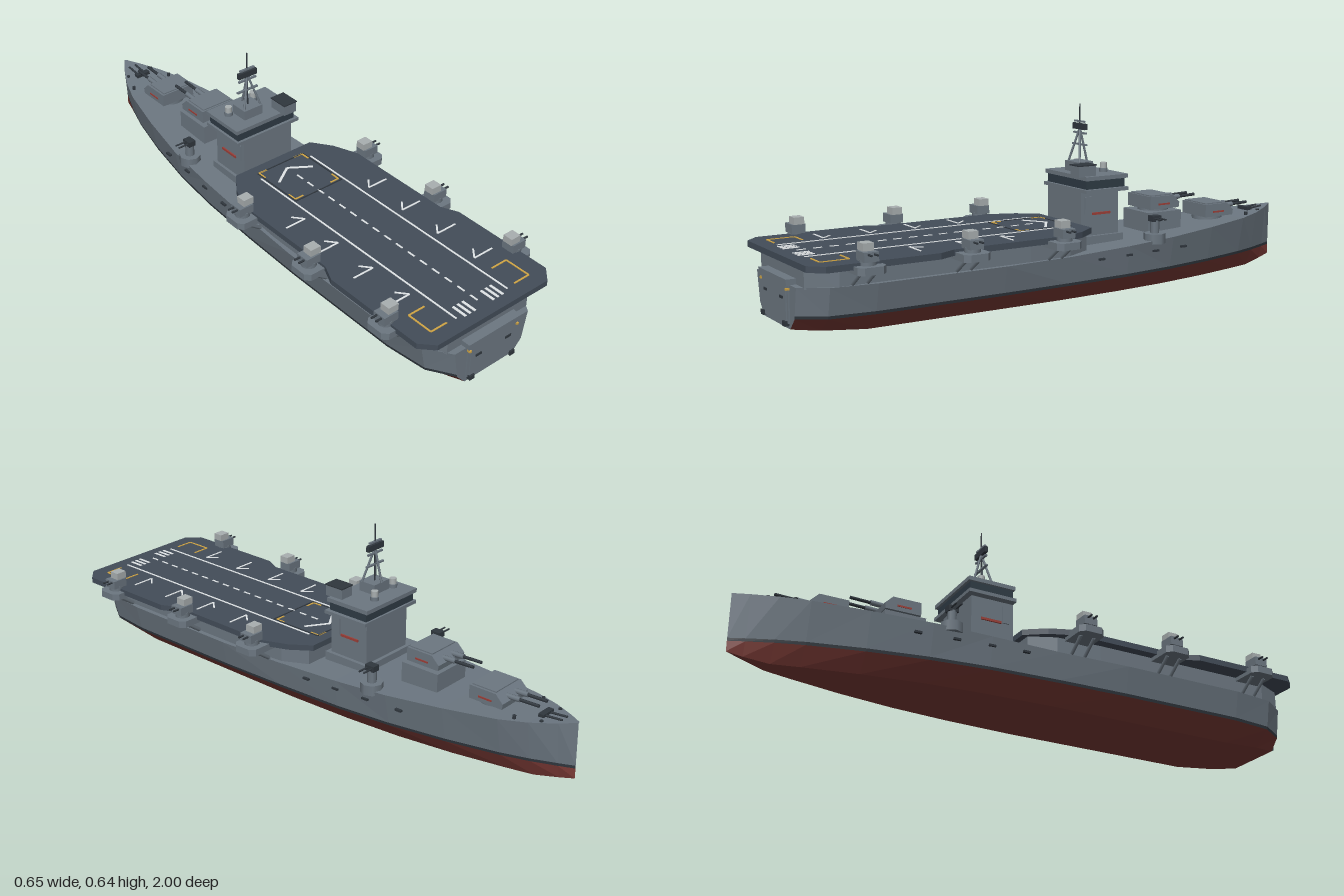
import * as THREE from 'three';

const mat = (name, color) => {
  const m = new THREE.MeshStandardMaterial({ color });
  m.name = name;
  return m;
};

export function createModel() {
  const grey = mat('hull grey', 0x6c7781), deckMat = mat('flight deck slate', 0x434d59);
  const red = mat('antifouling red', 0x7a3a35), dark = mat('dark fittings', 0x30373e);
  const glass = mat('bridge glass', 0x2f3b45), pale = mat('pale shields', 0xa9afb0);
  const white = mat('white paint', 0xe6eaec), yellow = mat('yellow paint', 0xd0a545);
  const vent = mat('red marking', 0x9c3f38);
  const model = new THREE.Group();

  const group = (name, x = 0, y = 0, z = 0, parent = model) => {
    const g = new THREE.Group();
    g.name = name;
    g.position.set(x, y, z);
    parent.add(g);
    return g;
  };
  const add = (parent, name, geo, m) => {
    const mesh = new THREE.Mesh(geo, m);
    mesh.name = name;
    parent.add(mesh);
    return mesh;
  };
  // Box given by its x, y and z ranges
  const box = (parent, name, m, [x0, x1], [y0, y1], [z0, z1]) => {
    const mesh = add(parent, name, new THREE.BoxGeometry(x1 - x0, y1 - y0, z1 - z0), m);
    mesh.position.set((x0 + x1) / 2, (y0 + y1) / 2, (z0 + z1) / 2);
    return mesh;
  };
  const rod = (parent, name, m, a, b, r, sides = 8) => {
    const p = new THREE.Vector3(...a), d = new THREE.Vector3(...b).sub(p);
    const mesh = add(parent, name, new THREE.CylinderGeometry(r, r, d.length(), sides), m);
    mesh.position.copy(p).addScaledVector(d, 0.5);
    mesh.quaternion.setFromUnitVectors(new THREE.Vector3(0, 1, 0), d.normalize());
    return mesh;
  };
  // Horizontal slab from an outline of [x, z]
  const slab = (parent, name, m, outline, y0, y1) => {
    const shape = new THREE.Shape(outline.map(([x, z]) => new THREE.Vector2(x, -z)));
    const geo = new THREE.ExtrudeGeometry(shape, { depth: y1 - y0, bevelEnabled: false });
    return add(parent, name, geo.rotateX(-Math.PI / 2).translate(0, y0, 0), m);
  };
  const mirrored = half => [...half, ...half.map(([x, z]) => [-x, z]).reverse()];
  // Side profile of [forward, y] extruded across the beam
  const prism = (parent, name, m, profile, width) => {
    const shape = new THREE.Shape(profile.map(p => new THREE.Vector2(...p)));
    const geo = new THREE.ExtrudeGeometry(shape, { depth: width, bevelEnabled: false });
    return add(parent, name, geo.translate(0, 0, -width / 2).rotateY(Math.PI / 2), m);
  };

  // Hull stations: z, half widths (bottom, waterline, deck), bottom y, deck y
  const stations = [
    [-1, 0, 0, 0.003, 0.025, 0.22], [-0.95, 0.01, 0.022, 0.037, 0.014, 0.213],
    [-0.87, 0.028, 0.055, 0.08, 0, 0.205], [-0.78, 0.05, 0.085, 0.114, 0, 0.198],
    [-0.6, 0.088, 0.13, 0.155, 0, 0.188], [-0.4, 0.118, 0.167, 0.19, 0, 0.178],
    [-0.2, 0.135, 0.19, 0.207, 0, 0.169], [0.05, 0.145, 0.203, 0.22, 0, 0.161],
    [0.3, 0.145, 0.21, 0.232, 0, 0.16], [0.75, 0.145, 0.21, 0.232, 0, 0.16],
    [0.9, 0.13, 0.193, 0.214, 0.012, 0.16], [0.985, 0.105, 0.14, 0.158, 0.022, 0.16]];
  const rings = stations.map(([z, b, w, d, yb, yd]) => {
    const t = 0.01 / (yd - 0.06);
    return [[0, yb, z], [b, yb, z], [w, 0.06, z], [w + (d - w) * t, 0.07, z], [d, yd, z], [0, yd, z]];
  });
  const hull = group('hull');
  const surface = (name, m, quads) => {
    const pos = [];
    for (const [a, b, c, d] of quads) for (const s of [1, -1]) {
      const order = s > 0 ? [a, b, c, a, c, d] : [a, c, b, a, d, c];
      for (const [x, y, z] of order) pos.push(x * s, y, z);
    }
    const geo = new THREE.BufferGeometry();
    geo.setAttribute('position', new THREE.Float32BufferAttribute(pos, 3));
    geo.computeVertexNormals();
    add(hull, name, geo, m);
  };
  const strip = k => rings.slice(1).map((r, i) => [rings[i][k], rings[i][k + 1], r[k + 1], r[k]]);
  surface('underwater hull', red, [...strip(0), ...strip(1)]);
  surface('boot stripe', dark, strip(2));
  surface('topsides', grey, strip(3));
  surface('main deck', grey, strip(4));
  const end = rings[rings.length - 1];
  surface('transom', grey, [[end[0], end[1], end[2], end[3]], [end[0], end[3], end[4], end[5]]]);
  for (const s of [1, -1]) for (const z of [-0.45, -0.32, -0.2, -0.08]) {
    const x = s * (0.203 + (z + 0.2) * 0.085);
    box(hull, 'scuttle', dark, [x - 0.005, x + 0.005], [0.135, 0.142], [z - 0.012, z + 0.012]);
  }

  // Hangar and flight deck
  slab(model, 'hangar', grey, mirrored([[0.165, -0.05], [0.205, 0.04], [0.215, 0.2], [0.215, 0.87], [0.172, 0.965]]), 0.155, 0.222);
  const deck = group('flightDeck');
  slab(deck, 'deckSlab', deckMat, mirrored([[0.165, -0.07], [0.215, 0], [0.25, 0.09], [0.25, 0.5],
    [0.278, 0.56], [0.278, 0.94], [0.235, 0.985]]), 0.22, 0.24);
  const line = (name, m, x0, z0, x1, z1, w = 0.006) => {
    const mesh = add(deck, name, new THREE.BoxGeometry(w, 0.002, Math.hypot(x1 - x0, z1 - z0)), m);
    mesh.position.set((x0 + x1) / 2, 0.241, (z0 + z1) / 2);
    mesh.rotation.y = Math.atan2(x1 - x0, z1 - z0);
  };
  for (let z = 0.06; z < 0.9; z += 0.055) line('centreDash', white, 0, z, 0, z + 0.03);
  for (const z of [-0.03, 0.175]) line('liftSeam', dark, -0.1, z, 0.1, z, 0.004);
  for (const s of [1, -1]) {
    line('runwayEdge', white, s * 0.11, 0.0, s * 0.11, 0.935);
    line('chevron', white, 0, 0.005, s * 0.075, 0.055, 0.009);
    line('liftSeam', dark, s * 0.1, -0.03, s * 0.1, 0.175, 0.004);
    for (const z of [-0.03, 0.165]) {
      line('liftCorner', yellow, s * 0.06, z, s * 0.095, z);
      line('liftCorner', yellow, s * 0.095, z - (z > 0 ? 0.035 : 0), s * 0.095, z + (z > 0 ? 0 : 0.035));
    }
    for (const z of [0.27, 0.435, 0.6, 0.765]) {
      line('parkingLine', white, s * 0.14, z, s * 0.22, z);
      line('parkingTick', white, s * 0.14, z, s * 0.17, z - 0.035);
    }
    for (const z of [0.835, 0.93]) line('parkingBox', yellow, s * 0.145, z, s * 0.21, z);
    line('parkingBox', yellow, s * 0.21, 0.835, s * 0.21, 0.93);
    for (const x of [0.04, 0.06, 0.08]) line('threshold', white, s * x, 0.89, s * x, 0.945, 0.009);
  }

  // Stern door
  const door = group('sternDoor');
  box(door, 'doorPanel', grey, [-0.095, 0.095], [0.035, 0.157], [0.975, 0.994]);
  box(door, 'doorLintel', grey, [-0.112, 0.112], [0.158, 0.178], [0.955, 0.998]);
  for (const s of [1, -1]) {
    box(door, 'doorPost', grey, [s * 0.1 - 0.005, s * 0.1 + 0.005], [0.04, 0.158], [0.975, 0.99]);
    box(door, 'hinge', dark, [s * 0.088 - 0.01, s * 0.088 + 0.01], [0.031, 0.047], [0.98, 1]);
    box(door, 'slot', dark, [s * 0.064 - 0.012, s * 0.064 + 0.012], [0.113, 0.121], [0.99, 0.997]);
    box(door, 'lamp', yellow, [s * 0.102 - 0.004, s * 0.102 + 0.004], [0.143, 0.15], [0.985, 0.997]);
  }

  // Bridge block
  const bridge = group('bridge');
  box(bridge, 'tower', grey, [-0.12, 0.087], [0.165, 0.35], [-0.235, -0.08]);
  box(bridge, 'towerPlinth', grey, [-0.13, 0.1], [0.16, 0.195], [-0.248, -0.065]);
  box(bridge, 'bridgeFloor', grey, [-0.146, 0.12], [0.346, 0.358], [-0.255, -0.08]);
  box(bridge, 'windowBand', glass, [-0.137, 0.106], [0.358, 0.388], [-0.248, -0.09]);
  box(bridge, 'bridgeRoof', grey, [-0.145, 0.113], [0.388, 0.402], [-0.257, -0.085]);
  box(bridge, 'directorHouse', grey, [0.045, 0.097], [0.4, 0.437], [-0.135, -0.065]);
  box(bridge, 'directorRoof', dark, [0.043, 0.099], [0.437, 0.441], [-0.137, -0.063]);
  box(bridge, 'mastHouse', grey, [-0.08, -0.003], [0.4, 0.437], [-0.19, -0.125]);
  for (const [x, z] of [[-0.1, -0.19], [0.025, -0.215]]) {
    rod(bridge, 'directorBase', grey, [x, 0.4, z], [x, 0.415, z], 0.015, 12);
    rod(bridge, 'director', pale, [x, 0.415, z], [x, 0.435, z], 0.012, 12);
  }
  for (const [x, s] of [[-0.12, -1], [0.087, 1]]) {
    box(bridge, 'sideLocker', grey, [x - 0.004, x + 0.004], [0.27, 0.33], [-0.12, -0.095]);
    box(bridge, 'sideMarking', vent, [x + s * 0.002 - 0.003, x + s * 0.002 + 0.003], [0.266, 0.274], [-0.2, -0.125]);
  }

  // Tripod mast
  const mast = group('mast', -0.04, 0, -0.16);
  for (const [x, z] of [[-0.033, 0.025], [0.036, 0.025], [0, -0.03]])
    rod(mast, 'mastLeg', grey, [x, 0.435, z], [0, 0.553, 0], 0.004);
  rod(mast, 'mastPole', dark, [0, 0.435, 0], [0, 0.637, 0], 0.0025);
  for (const [y, w] of [[0.495, 0.043], [0.535, 0.037], [0.575, 0.03]])
    box(mast, 'yard', grey, [-w, w], [y - 0.003, y + 0.003], [-0.004, 0.004]);
  box(mast, 'radar', dark, [-0.038, 0.038], [0.547, 0.568], [-0.006, 0.006]);

  // Twin-gun main turrets
  box(model, 'turretDeckhouse', grey, [-0.075, 0.075], [0.17, 0.247], [-0.52, -0.375]);
  for (const [y, z] of [[0.25, -0.45], [0.2, -0.7]]) {
    const turret = group('mainTurret', 0, y, z);
    rod(turret, 'barbette', grey, [0, -0.02, 0], [0, 0.008, 0], 0.055, 16);
    prism(turret, 'gunhouse', grey, [[-0.06, 0.006], [0.065, 0.006], [0.068, 0.025], [0.04, 0.052], [-0.06, 0.052]], 0.136);
    box(turret, 'turretRoof', grey, [-0.06, 0.06], [0.05, 0.056], [-0.036, 0.054]);
    for (const s of [1, -1]) {
      rod(turret, 'barrel', dark, [s * 0.022, 0.034, -0.05], [s * 0.022, 0.038, -0.17], 0.0055);
      rod(turret, 'barrelSleeve', grey, [s * 0.022, 0.034, -0.05], [s * 0.022, 0.036, -0.1], 0.009);
      box(turret, 'turretMarking', vent, [s * 0.068 - 0.002, s * 0.068 + 0.002], [0.02, 0.026], [-0.025, 0.025]);
    }
  }

  // Foredeck gear
  const gear = group('foredeckGear');
  box(gear, 'windlass', dark, [-0.028, 0.028], [0.2, 0.217], [-0.892, -0.872]);
  for (const s of [1, -1]) {
    rod(gear, 'anchorChain', dark, [s * 0.014, 0.209, -0.88], [s * 0.014, 0.215, -0.95], 0.004);
    for (const [x, z] of [[0.08, -0.82], [0.052, -0.9]])
      rod(gear, 'bollard', dark, [s * x, 0.195, z], [s * x, 0.213, z], 0.006);
  }

  for (const s of [1, -1]) {
    // Forward light guns in round tubs
    const gun = group('forwardGun', s * 0.172, 0.172, -0.33);
    rod(gun, 'tub', grey, [0, -0.01, 0], [0, 0.025, 0], 0.038, 8);
    rod(gun, 'pedestal', grey, [0, 0.02, 0], [0, 0.07, 0], 0.016, 8);
    box(gun, 'gunBody', dark, [-0.014, 0.014], [0.066, 0.086], [-0.018, 0.018]);
    for (const dz of [-0.009, 0.009])
      rod(gun, 'gunBarrel', dark, [0, 0.077, dz], [s * 0.052, 0.077, dz], 0.003);

    // Deck-edge gun sponsons
    for (const z of [0.11, 0.45, 0.805]) {
      const sp = group('sponson', s * 0.265, 0, z);
      const edge = [[-0.05, -0.047], [0.038, -0.047], [0.055, -0.03], [0.055, 0.03], [0.038, 0.047], [-0.05, 0.047]];
      slab(sp, 'platform', grey, edge.map(([x, dz]) => [s * x, dz]), 0.207, 0.231);
      for (const dz of [-0.025, 0.025])
        rod(sp, 'brace', grey, [s * 0.015, 0.208, dz], [s * -0.045, 0.165, dz], 0.007, 4);
      rod(sp, 'gunBase', grey, [s * 0.01, 0.23, 0], [s * 0.01, 0.248, 0], 0.026, 12);
      box(sp, 'mount', grey, [s * 0.01 - 0.028, s * 0.01 + 0.028], [0.243, 0.273], [-0.024, 0.024]);
      box(sp, 'shield', pale, [s * -0.003 - 0.02, s * -0.003 + 0.02], [0.273, 0.297], [-0.018, 0.018]);
      for (const dz of [-0.01, 0.01])
        rod(sp, 'gunBarrel', dark, [s * 0.03, 0.266, dz], [s * 0.06, 0.266, dz], 0.0035);
    }
  }
  return model;
}
